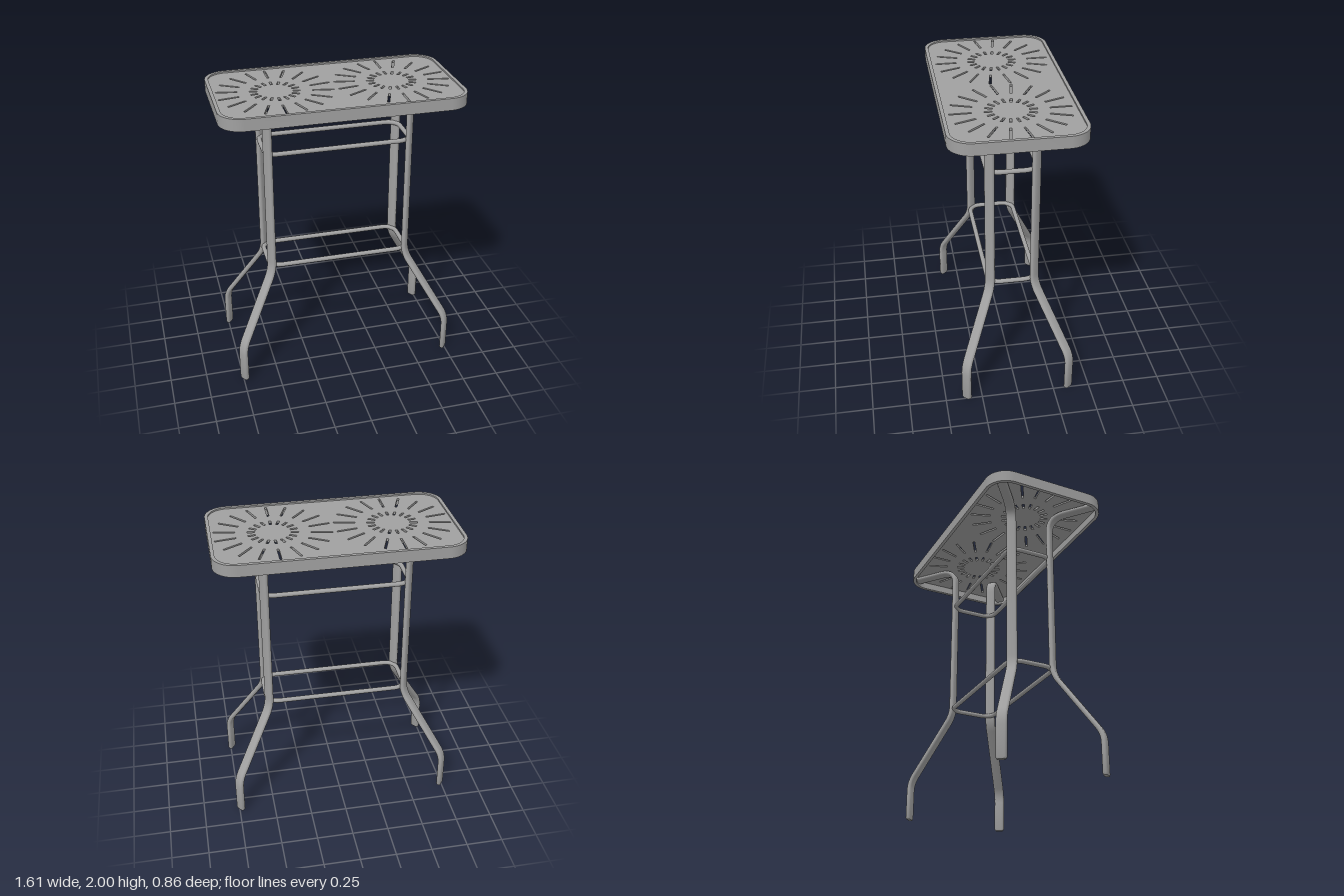
import * as THREE from 'three';
import { toCreasedNormals } from 'three/addons/utils/BufferGeometryUtils.js';

const metal = new THREE.MeshStandardMaterial({ color: 0xa0a0a0 });
metal.name = 'grey metal';

// Rounded rectangle outline with half sizes a, b and corner radius r
function roundedRect(a, b, r, Type = THREE.Shape) {
  const s = new Type();
  s.absarc(a - r, b - r, r, 0, Math.PI / 2);
  s.absarc(r - a, b - r, r, Math.PI / 2, Math.PI);
  s.absarc(r - a, r - b, r, Math.PI, Math.PI * 1.5);
  s.absarc(a - r, r - b, r, Math.PI * 1.5, Math.PI * 2);
  s.closePath();
  return s;
}

// Horizontal slab from an outline
function slab(shape, y, depth) {
  const g = new THREE.ExtrudeGeometry(shape, { depth, bevelEnabled: false, curveSegments: 12 });
  g.rotateX(-Math.PI / 2).translate(0, y, 0);
  return toCreasedNormals(g, 0.6);
}

// Radial slot between two radii of a sunburst
function slot(cx, angle, r0, r1, w) {
  const c = Math.cos(angle), s = Math.sin(angle);
  const corners = [[r0, -w], [r1, -w], [r1, w], [r0, w]];
  return new THREE.Path(corners.map(([u, v]) => new THREE.Vector2(cx + u * c - v * s, u * s + v * c)));
}

// Polyline with softened corners; each entry is [x, y, trim]
function bentPath(list) {
  const pts = [];
  list.forEach(([x, y, trim], i) => {
    const p = new THREE.Vector2(x, y);
    if (!trim) { pts.push(p); return; }
    const toward = ([qx, qy]) => new THREE.Vector2(qx, qy).sub(p).setLength(trim).add(p);
    pts.push(...new THREE.QuadraticBezierCurve(toward(list[i - 1]), p, toward(list[i + 1])).getPoints(8));
  });
  return pts;
}

// Flat-oval tube swept along a path in the local xy plane
function ovalTube(path, r, h) {
  const n = 20, pos = [], idx = [], last = path.length - 1;
  path.forEach((p, i) => {
    const t = path[Math.min(i + 1, last)].clone().sub(path[Math.max(i - 1, 0)]).normalize();
    const k = i === 0 ? 0.8 : 1; // softened foot
    for (let j = 0; j < n; j++) {
      const a = ((j + 0.5) / n) * Math.PI * 2;
      const u = r * Math.cos(a) * k, v = (r * Math.sin(a) + (j < n / 2 ? h : -h)) * k;
      pos.push(p.x - t.y * u, p.y + t.x * u, v);
      const a0 = i * n + j, b0 = i * n + (j + 1) % n;
      if (i < last) idx.push(a0, b0, a0 + n, b0, b0 + n, a0 + n);
    }
  });
  const c0 = pos.length / 3, c1 = c0 + 1;
  pos.push(path[0].x, path[0].y, 0, path[last].x, path[last].y, 0);
  for (let j = 0; j < n; j++) {
    const k = (j + 1) % n;
    idx.push(c0, k, j, c1, last * n + j, last * n + k);
  }
  const g = new THREE.BufferGeometry();
  g.setAttribute('position', new THREE.Float32BufferAttribute(pos, 3));
  g.setIndex(idx);
  return toCreasedNormals(g, 0.6);
}

export function createModel() {
  const model = new THREE.Group();
  const add = (name, geometry) => {
    const m = new THREE.Mesh(geometry, metal);
    m.name = name;
    model.add(m);
    return m;
  };

  // Table top: recessed plate with two sunbursts of slots
  const plate = roundedRect(0.79, 0.415, 0.135);
  for (const cx of [-0.39, 0.39]) {
    for (let i = 0; i < 18; i++) {
      const a = Math.PI / 2 + (i * Math.PI) / 9;
      plate.holes.push(slot(cx, a, 0.115, 0.165, 0.008), slot(cx, a, 0.242, 0.382, 0.007));
    }
  }
  add('tableTop', slab(plate, 1.972, 0.018));

  // Rim around the top, hanging below the plate
  const rim = roundedRect(0.805, 0.43, 0.15);
  rim.holes.push(roundedRect(0.782, 0.407, 0.127, THREE.Path));
  add('rim', slab(rim, 1.92, 0.08));

  // Four bent legs splayed along the diagonals, arms reaching the corners
  const legGeometry = ovalTube(bentPath([
    [0.331, 0], [0.331, 0.012], [0.331, 0.27, 0.06], [0, 0.74, 0.07],
    [0, 1.953, 0.12], [0.345, 1.953],
  ]), 0.017, 0.018);
  for (const sx of [-1, 1]) {
    for (const sz of [-1, 1]) {
      const leg = add(`${sz > 0 ? 'front' : 'back'}${sx > 0 ? 'Left' : 'Right'}Leg`, legGeometry);
      leg.position.set(0.48 * sx, 0, 0.15 * sz);
      leg.rotation.y = Math.atan2(-0.205 * sz, 0.26 * sx);
    }
  }

  // Two brace rings joining the legs
  const loop = roundedRect(0.492, 0.162, 0.08).getSpacedPoints(120).slice(0, -1);
  const curve = new THREE.CatmullRomCurve3(loop.map((p) => new THREE.Vector3(p.x, 0, p.y)), true);
  const ring = new THREE.TubeGeometry(curve, 160, 0.016, 12, true);
  add('lowerBraceRing', ring).position.y = 0.78;
  add('upperBraceRing', ring).position.y = 1.62;

  return model;
}
